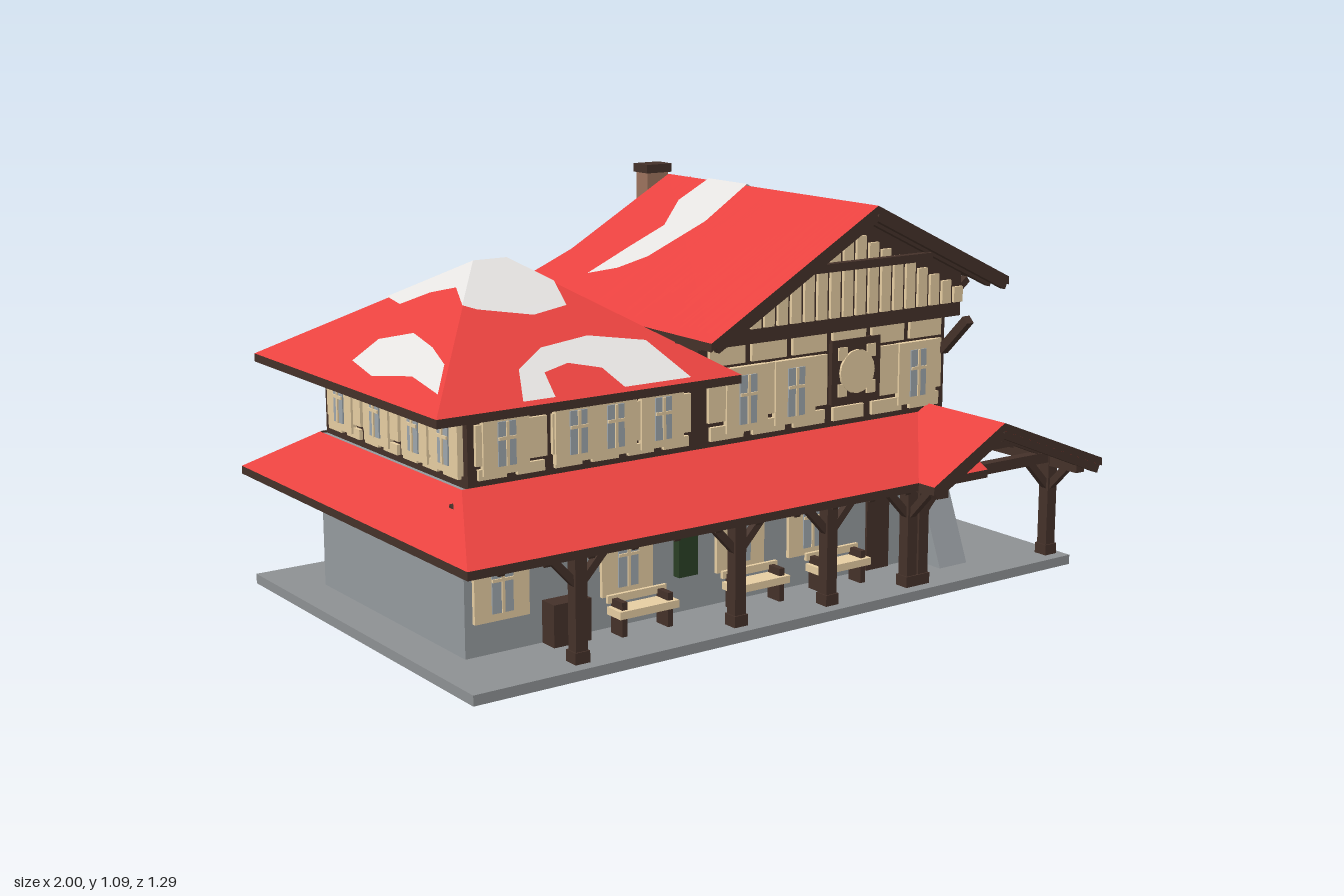
import * as THREE from 'three';

const mat = (name, color, side = THREE.FrontSide) => Object.assign(new THREE.MeshStandardMaterial({ color, side }), { name });
const M = {
  red: mat('red roof', 0xec4340), timber: mat('dark timber', 0x443129), plaster: mat('tan plaster', 0xe6cda2),
  stone: mat('grey wall', 0x959a9e), slab: mat('grey paving', 0x8e9193), bare: mat('bare roof patch', 0xe4e2e0, THREE.DoubleSide),
  brick: mat('chimney brown', 0x9c735d), glass: mat('window glass', 0x9ea6ac), green: mat('dark green', 0x2a3f25),
};
let seed = 7;
const rnd = () => (seed = (seed * 16807) % 2147483647) / 2147483647;

export function createModel() {
  const root = new THREE.Group();
  root.name = 'house';
  const add = (name, geo, m, parent = root) => {
    const mesh = new THREE.Mesh(geo, m);
    mesh.name = name;
    parent.add(mesh);
    return mesh;
  };
  // Box given by its limits
  const box = (name, m, x0, x1, y0, y1, z0, z1, parent) => {
    const b = add(name, new THREE.BoxGeometry(x1 - x0, y1 - y0, z1 - z0), m, parent);
    b.position.set((x0 + x1) / 2, (y0 + y1) / 2, (z0 + z1) / 2);
  };
  // Square timber between two points
  const beam = (name, a, b, size = 0.025) => {
    const p = new THREE.Vector3(...a), q = new THREE.Vector3(...b);
    const mesh = add(name, new THREE.BoxGeometry(size, size, p.distanceTo(q)), M.timber);
    mesh.position.copy(p).add(q).multiplyScalar(0.5);
    mesh.lookAt(q);
  };
  // Convex sloping roof sheet with a coloured top and its own underside
  const roof = (name, pts, under = M.timber, t = 0.022) => {
    let area = 0;
    pts.forEach((p, i) => { const q = pts[(i + 1) % pts.length]; area += p[2] * q[0] - p[0] * q[2]; });
    if (area < 0) pts = [...pts].reverse();
    const low = pts.map(([x, y, z]) => [x, y - t, z]), n = pts.length, pos = [];
    for (let i = 1; i < n - 1; i++) pos.push(...pts[0], ...pts[i], ...pts[i + 1]);
    const top = pos.length / 3;
    for (let i = 1; i < n - 1; i++) pos.push(...low[0], ...low[i + 1], ...low[i]);
    for (let i = 0; i < n; i++) {
      const j = (i + 1) % n;
      pos.push(...pts[i], ...low[i], ...low[j], ...pts[i], ...low[j], ...pts[j]);
    }
    const g = new THREE.BufferGeometry();
    g.setAttribute('position', new THREE.Float32BufferAttribute(pos, 3));
    g.computeVertexNormals();
    g.addGroup(0, top, 0); g.addGroup(top, top, 1); g.addGroup(2 * top, n * 6, 2);
    add(name, g, [M.red, under, M.timber]);
  };
  // Flat patch laid on a roof height function, outline in x and z
  const patch = (pts, f) => {
    const g = new THREE.ShapeGeometry(new THREE.Shape(pts.map(([x, z]) => new THREE.Vector2(x, -z))));
    g.rotateX(-Math.PI / 2);
    const p = g.attributes.position;
    for (let i = 0; i < p.count; i++) p.setY(i, f(p.getX(i), p.getZ(i)) + 0.005);
    g.computeVertexNormals();
    add('roofPatch', g, M.bare);
  };
  // Narrow raised boards running down a slope
  const boards = (f, inside, [x0, x1, z0, z1], alongX, count) => {
    const pos = [], w = 0.003;
    for (let i = 0; i < count; i++) {
      const x = x0 + rnd() * (x1 - x0), z = z0 + rnd() * (z1 - z0), l = 0.06 + rnd() * 0.16;
      const a = alongX ? [x, z - w, x + l, z + w] : [x - w, z, x + w, z + l];
      if (!inside(a[0], a[1]) || !inside(a[2], a[3]) || !inside(a[0], a[3]) || !inside(a[2], a[1])) continue;
      const v = (px, pz) => [px, f(px, pz) + 0.003, pz];
      pos.push(...v(a[0], a[1]), ...v(a[0], a[3]), ...v(a[2], a[3]), ...v(a[0], a[1]), ...v(a[2], a[3]), ...v(a[2], a[1]));
    }
    const g = new THREE.BufferGeometry();
    g.setAttribute('position', new THREE.Float32BufferAttribute(pos, 3));
    g.computeVertexNormals();
    add('roofBoards', g, M.red);
  };
  // Extruded outline
  const prism = (name, m, pts, z0, z1) => {
    const g = new THREE.ExtrudeGeometry(new THREE.Shape(pts.map(p => new THREE.Vector2(...p))), { depth: z1 - z0, bevelEnabled: false });
    const p = add(name, g, m);
    p.position.z = z0;
    return p;
  };
  // Local frame on a wall: x along it, z outward
  const face = (name, x, z, turn) => {
    const g = new THREE.Group();
    g.name = name;
    g.position.set(x, 0, z);
    g.rotation.y = turn * Math.PI / 2;
    root.add(g);
    return g;
  };
  const windowAt = (g, u, y, w = 0.06, h = 0.13, rim = 0.04) => {
    box('windowSurround', M.plaster, u - w / 2 - rim, u + w / 2 + rim, y - h / 2 - 0.02, y + h / 2 + 0.022, 0, 0.016, g);
    box('windowGlass', M.glass, u - w / 2, u + w / 2, y - h / 2, y + h / 2, 0.012, 0.02, g);
    box('windowBar', M.plaster, u - 0.004, u + 0.004, y - h / 2, y + h / 2, 0.018, 0.024, g);
    box('windowBar', M.plaster, u - w / 2, u + w / 2, y + 0.01, y + 0.018, 0.018, 0.024, g);
  };
  // Timber framing: plaster infill in three rows of bays
  const framing = (g, u0, u1, y0, y1, bays) => {
    const s = (u1 - u0) / bays, h = y1 - y0;
    for (let i = 0; i < bays; i++)
      for (const [a, b, gap] of [[0, 0.15, 0.03], [0.2, 0.76, 0.016], [0.8, 1, 0.022]])
        box('plasterPanel', M.plaster, u0 + i * s + gap / 2, u0 + (i + 1) * s - gap / 2, y0 + a * h, y0 + b * h, 0, 0.01, g);
  };
  const bench = (g, u, seat, back, z = 0.07) => {
    box('benchSeat', seat, u - 0.09, u + 0.09, 0.08, 0.1, z - 0.03, z + 0.03, g);
    box('benchBack', back, u - 0.09, u + 0.09, 0.108, 0.128, z - 0.035, z - 0.025, g);
    for (const s of [-0.07, 0.07]) box('benchLeg', M.timber, u + s - 0.008, u + s + 0.008, 0.03, 0.12, z - 0.03, z + 0.02, g);
  };
  const plant = (g, u, w, y0, y1) => box('hangingPlant', M.green, u - w / 2, u + w / 2, y0, y1, 0, 0.03, g);

  // Paving and ground floor
  box('paving', M.slab, -0.98, 0.97, 0.003, 0.03, -0.61, 0.565);
  box('foundation', M.timber, -0.87, 0.66, 0, 0.006, -0.4, 0.36);
  box('foundation', M.timber, -0.02, 0.66, 0, 0.006, -0.53, -0.4);
  box('groundFloorLeft', M.stone, -0.87, -0.02, 0.03, 0.45, -0.41, 0.34);
  box('groundFloorRight', M.stone, -0.02, 0.68, 0.03, 0.45, -0.53, 0.34);
  const buttress = prism('buttress', M.stone, [[0.33, 0.03], [0.45, 0.03], [0.33, 0.33]], 0, 0.1);
  buttress.rotation.y = -Math.PI / 2;
  buttress.position.x = 0.68;

  // Upper floor bodies
  box('upperFloorLeft', M.timber, -0.85, -0.1, 0.45, 0.7, -0.41, 0.335);
  prism('upperFloorMain', M.timber, [[-0.17, 0.45], [0.68, 0.45], [0.68, 0.86], [0.32, 1.03], [-0.17, 0.755]], -0.38, 0.335);
  prism('mainGable', M.timber, [[-0.19, 0.72], [0.7, 0.72], [0.7, 0.85], [0.32, 1.03], [-0.19, 0.745]], 0.3, 0.375);
  prism('upperFloorRear', M.timber, [[-0.02, 0.45], [0.68, 0.45], [0.68, 0.75], [0.32, 0.9], [-0.02, 0.77]], -0.53, -0.36);

  // Front wall
  const front = face('frontWall', 0, 0.335, 0);
  framing(front, -0.84, -0.19, 0.47, 0.65, 6);
  framing(front, -0.15, 0.67, 0.47, 0.715, 6);
  for (const x of [-0.75, -0.545, -0.435, -0.29]) windowAt(front, x, 0.555, 0.05, 0.11);
  for (const x of [-0.02, 0.14, 0.57]) windowAt(front, x, 0.57, 0.055, 0.13);
  box('roundPanelBack', M.timber, 0.265, 0.435, 0.515, 0.69, 0, 0.013, front);
  const disc = add('roundPanel', new THREE.CylinderGeometry(0.06, 0.06, 0.02, 16), M.plaster, front);
  disc.rotation.x = Math.PI / 2;
  disc.position.set(0.35, 0.6, 0.01);
  for (const x of [0.285, 0.385]) for (const y of [0.535, 0.635])
    box('roundPanelCorner', M.plaster, x, x + 0.03, y, y + 0.035, 0.01, 0.018, front);
  for (const x of [-0.77, -0.4, -0.04, 0.2]) windowAt(front, x, 0.205, 0.06, 0.14, 0.048);
  for (const x of [-0.39, -0.03, 0.25]) bench(front, x, M.plaster, M.plaster);
  box('frontDoor', M.timber, 0.4, 0.48, 0.03, 0.25, 0, 0.012, front);
  box('woodChest', M.timber, -0.65, -0.54, 0.03, 0.14, 0, 0.06, front);
  plant(front, -0.22, 0.06, 0.13, 0.26);
  plant(front, -0.8, 0.1, 0.29, 0.32);
  plant(front, 0.3, 0.1, 0.28, 0.32);

  // Right wall
  const right = face('rightWall', 0.68, 0, 1);
  framing(right, -0.33, 0.52, 0.47, 0.715, 7);
  for (const u of [-0.22, -0.02, 0.28, 0.39]) windowAt(right, u, 0.57, 0.05, 0.13);
  box('closedShutter', M.timber, -0.14, -0.09, 0.5, 0.66, 0, 0.018, right);
  box('loftHatch', M.timber, 0.07, 0.2, 0.53, 0.66, 0, 0.018, right);
  box('hatchPane', M.brick, 0.125, 0.175, 0.55, 0.61, 0.014, 0.022, right);
  for (const u of [-0.31, -0.19, 0.1, 0.19]) box('plasterPanel', M.plaster, u, u + 0.05, 0.775, 0.8, 0, 0.009, right);
  box('loftPane', M.glass, -0.02, 0.05, 0.77, 0.8, 0, 0.009, right);
  plant(right, -0.11, 0.05, 0.755, 0.775);
  windowAt(right, 0.18, 0.217, 0.06, 0.12, 0.048);
  bench(right, 0.2, M.brick, M.green);
  box('sideDoorFrame', M.slab, -0.25, -0.1, 0.05, 0.27, 0, 0.012, right);
  box('sideDoor', M.stone, -0.235, -0.115, 0.05, 0.255, 0.006, 0.015, right);
  box('noticeBoard', M.slab, -0.07, -0.02, 0.165, 0.21, 0, 0.012, right);
  box('cellarHatch', M.timber, 0.41, 0.475, 0.03, 0.11, 0, 0.015, right);
  plant(right, -0.19, 0.12, 0.27, 0.32);
  plant(right, 0.2, 0.14, 0.3, 0.34);
  plant(right, 0.45, 0.06, 0.28, 0.32);

  // Left and rear walls
  const left = face('leftWall', -0.85, 0, -1);
  framing(left, -0.39, 0.32, 0.47, 0.65, 7);
  for (const u of [-0.3, -0.1, 0.1, 0.25]) windowAt(left, u, 0.555, 0.05, 0.11);
  const rearLeft = face('rearLeftWall', 0, -0.41, 2);
  framing(rearLeft, 0.04, 0.84, 0.47, 0.65, 7);
  for (const u of [0.2, 0.4, 0.6, 0.76]) windowAt(rearLeft, u, 0.555, 0.05, 0.11);
  box('rearDoor', M.timber, 0.66, 0.74, 0.03, 0.17, 0, 0.012, rearLeft);
  box('greenDoor', M.green, 0.52, 0.57, 0.03, 0.25, 0, 0.012, rearLeft);
  for (const u of [0.12, 0.26, 0.4]) box('stonePanel', M.slab, u, u + 0.09, 0.08, 0.26, 0, 0.008, rearLeft);
  for (const u of [0.1, 0.35, 0.7]) plant(rearLeft, u, 0.1, 0.3, 0.34);
  const rear = face('rearWall', 0, -0.53, 2);
  framing(rear, -0.67, 0.01, 0.47, 0.71, 6);
  for (const u of [-0.53, -0.12]) {
    windowAt(rear, u, 0.575, 0.06, 0.13);
    windowAt(rear, u, 0.23, 0.06, 0.14, 0.045);
  }

  // Chimney
  box('chimney', M.brick, 0.28, 0.355, 0.03, 1.06, -0.587, -0.53);
  box('chimneyCap', M.timber, 0.273, 0.362, 1.06, 1.085, -0.592, -0.522);

  // Main gable roof and lower rear gable roof
  const main = x => 1.06 - (x < 0.32 ? 0.565 * (0.32 - x) : 0.479 * (x - 0.32));
  const back = x => 0.935 - (x < 0.32 ? 0.42 * (0.32 - x) : 0.458 * (x - 0.32));
  const P = (f, x, z) => [x, f(x, z), z];
  roof('mainRoofLeft', [P(main, -0.22, 0.46), P(main, 0.32, 0.46), P(main, 0.32, -0.48), P(main, -0.22, -0.48)]);
  roof('mainRoofRight', [P(main, 0.32, 0.46), P(main, 0.8, 0.46), P(main, 0.8, -0.39), P(main, 0.32, -0.48)]);
  roof('rearRoofLeft', [P(back, -0.21, -0.3), P(back, 0.32, -0.3), P(back, 0.32, -0.65), P(back, -0.21, -0.65)]);
  roof('rearRoofRight', [P(back, 0.32, -0.33), P(back, 0.8, -0.33), P(back, 0.8, -0.65), P(back, 0.32, -0.65)]);
  for (const [f, z] of [[main, 0.45], [main, 0.39], [back, -0.64], [back, -0.58]])
    for (const x of [-0.2, 0.79]) beam('bargeBoard', [0.32, f(0.32) - 0.03, z], [x, f(x) - 0.03, z], 0.02);
  for (const z of [0.3, 0, -0.3]) beam('eaveBrace', [0.68, 0.72, z], [0.79, main(0.79) - 0.03, z], 0.02);
  beam('gableBrace', [0.67, 0.62, 0.34], [0.67, 0.72, 0.44]);
  boards(main, x => x > -0.2 && x < 0.32, [-0.2, 0.3, -0.47, 0.45], true, 380);
  boards(main, x => x > 0.32 && x < 0.79, [0.32, 0.75, -0.38, 0.45], true, 110);
  boards(back, x => x > -0.2 && x < 0.32, [-0.2, 0.3, -0.64, -0.49], true, 60);
  patch([[-0.1, -0.28], [0.02, -0.25], [0.12, -0.22], [0.22, -0.29], [0.32, -0.28], [0.32, -0.1], [0.16, -0.08], [0, -0.13], [-0.06, -0.19]], main);
  patch([[0.32, -0.28], [0.43, -0.25], [0.5, -0.19], [0.47, -0.13], [0.32, -0.1]], main);
  patch([[0.33, -0.53], [0.46, -0.52], [0.58, -0.47], [0.54, -0.45], [0.33, -0.45]], back);

  // Upright plaster strips in the gable, with a tie beam
  for (let x = -0.08; x < 0.67; x += 0.044) {
    const top = Math.min(main(x), main(x + 0.032)) - 0.075;
    if (top > 0.78) box('gableStrip', M.plaster, x, x + 0.032, 0.76, top, 0.04, 0.049, front);
  }
  beam('gableTie', [0.1, 0.9, 0.4], [0.56, 0.9, 0.4], 0.022);

  // Hipped roof of the left wing
  const hip = (x, z) => 0.93 - Math.max(0.692 * (Math.abs(x + 0.55) - 0.05), 0.551 * Math.abs(z + 0.05), 0);
  const A = [-0.99, 0.66, 0.44], B = [-0.11, 0.66, 0.44], C = [-0.11, 0.66, -0.54], D = [-0.99, 0.66, -0.54];
  const R0 = [-0.6, 0.93, -0.05], R1 = [-0.5, 0.93, -0.05];
  roof('hipRoofFront', [A, B, R1, R0]);
  roof('hipRoofBack', [C, D, R0, R1]);
  roof('hipRoofLeft', [D, A, R0]);
  roof('hipRoofRight', [B, C, R1]);
  const endFace = (x, z) => 0.692 * (Math.abs(x + 0.55) - 0.05) > 0.551 * Math.abs(z + 0.05);
  boards(hip, (x, z) => !endFace(x, z) && z > -0.05 && z < 0.43, [-0.97, -0.2, 0, 0.4], false, 300);
  boards(hip, (x, z) => !endFace(x, z) && z < -0.05, [-0.97, -0.2, -0.53, -0.1], false, 300);
  boards(hip, (x, z) => endFace(x, z) && x < -0.6 && x > -0.98, [-0.98, -0.62, -0.5, 0.4], true, 300);
  boards(hip, (x, z) => endFace(x, z) && x > -0.5 && x < -0.2, [-0.5, -0.22, -0.3, 0.2], true, 150);
  patch([[-0.6, -0.05], [-0.5, -0.05], [-0.42, 0.05], [-0.44, 0.14], [-0.55, 0.16], [-0.69, 0.12], [-0.72, 0.1]], hip);
  patch([[-0.6, -0.05], [-0.5, -0.05], [-0.42, -0.15], [-0.46, -0.25], [-0.6, -0.23], [-0.7, -0.27], [-0.75, -0.238]], hip);
  patch([[-0.6, -0.05], [-0.72, 0.1], [-0.68, 0], [-0.71, -0.08], [-0.76, -0.15], [-0.75, -0.238]], hip);
  patch([[-0.5, -0.05], [-0.42, 0.05], [-0.4, -0.03], [-0.42, -0.15]], hip);
  patch([[-0.75, 0.43], [-0.7, 0.33], [-0.6, 0.27], [-0.45, 0.25], [-0.3, 0.29], [-0.26, 0.43], [-0.46, 0.43], [-0.48, 0.36],
    [-0.56, 0.33], [-0.64, 0.35], [-0.66, 0.43]], hip);
  patch([[-0.93, -0.09], [-0.86, -0.08], [-0.82, 0.03], [-0.84, 0.16], [-0.87, 0.27], [-0.94, 0.36], [-0.92, 0.2], [-0.95, 0.05]], hip);
  patch([[-0.35, 0.05], [-0.26, 0.09], [-0.19, 0.01], [-0.11, 0], [-0.14, 0.1], [-0.22, 0.17], [-0.3, 0.12]], hip);
  patch([[-0.66, -0.48], [-0.62, -0.47], [-0.55, -0.37], [-0.57, -0.35], [-0.65, -0.41]], hip);

  // Porch roofs around the ground floor
  const lo = 0.335, hi = 0.455;
  roof('porchRoofFront', [[-1, lo, 0.585], [0.62, lo, 0.585], [0.62, hi, 0.34], [-0.87, hi, 0.34]], M.red);
  roof('porchRoofLeft', [[-1, lo, 0.585], [-0.87, hi, 0.34], [-0.87, hi, -0.41], [-1, lo, -0.63]], M.red);
  roof('porchRoofRear', [[-1, lo, -0.63], [-0.02, lo, -0.63], [-0.02, hi, -0.41], [-0.87, hi, -0.41]], M.red);
  roof('porchGableLeft', [[0.37, lo, 0.645], [0.62, 0.475, 0.645], [0.62, 0.475, 0.34], [0.37, lo, 0.34]], M.red);
  roof('porchRoofRight', [[0.62, 0.475, 0.645], [1, 0.325, 0.645], [1, 0.325, -0.64], [0.62, 0.475, -0.45]], M.red);
  roof('porchRoofRightEnd', [[1, 0.325, -0.64], [0.69, 0.325, -0.64], [0.69, 0.447, -0.485]], M.red);
  patch([[-0.86, -0.42], [-0.1, -0.42], [-0.1, -0.45], [-0.4, -0.46], [-0.7, -0.45], [-0.87, -0.46]], (x, z) => lo + (z + 0.63) * 0.545);
  for (const z of [0.63, 0.51]) {
    beam('porchBarge', [0.38, 0.31, z], [0.62, 0.445, z]);
    beam('porchBarge', [0.99, 0.295, z], [0.62, 0.445, z]);
  }
  beam('porchKingPost', [0.62, 0.31, 0.51], [0.62, 0.44, 0.51]);
  beam('porchTie', [0.5, 0.375, 0.51], [0.8, 0.375, 0.51], 0.02);
  for (let x = -0.9; x < 0.6; x += 0.125) beam('rafter', [x, 0.31, 0.57], [x, 0.42, 0.345], 0.018);
  for (let x = -0.87; x < -0.03; x += 0.125) beam('rafter', [x, 0.31, -0.615], [x, 0.41, -0.415], 0.018);
  for (let z = -0.5; z < 0.6; z += 0.125) beam('rafter', [0.98, 0.297, z], [0.68, 0.417, z], 0.018);

  // Posts, plates and braces of the porch
  beam('porchPlate', [-0.97, 0.315, 0.51], [0.94, 0.315, 0.51], 0.03);
  beam('porchPlate', [0.93, 0.305, 0.63], [0.93, 0.305, -0.58], 0.03);
  beam('porchPlate', [0.42, 0.31, 0.63], [0.42, 0.31, 0.34], 0.03);
  const post = (x, z, alongX, alongZ) => {
    box('post', M.timber, x - 0.017, x + 0.017, 0.03, 0.32, z - 0.017, z + 0.017);
    box('postFoot', M.timber, x - 0.021, x + 0.021, 0.03, 0.06, z - 0.021, z + 0.021);
    for (const s of alongX) beam('postBrace', [x, 0.22, z], [x + s * 0.085, 0.31, z], 0.02);
    for (const s of alongZ) beam('postBrace', [x, 0.22, z], [x, 0.31, z + s * 0.085], 0.02);
  };
  for (const x of [-0.655, -0.175, 0.125]) post(x, 0.51, [-1, 1], []);
  post(0.405, 0.51, [-1], [1]);
  post(0.445, 0.51, [1], []);
  post(0.93, 0.51, [-1], [-1, 1]);
  for (const z of [-0.035, -0.38]) post(0.93, z, [], [-1, 1]);
  return root;
}
